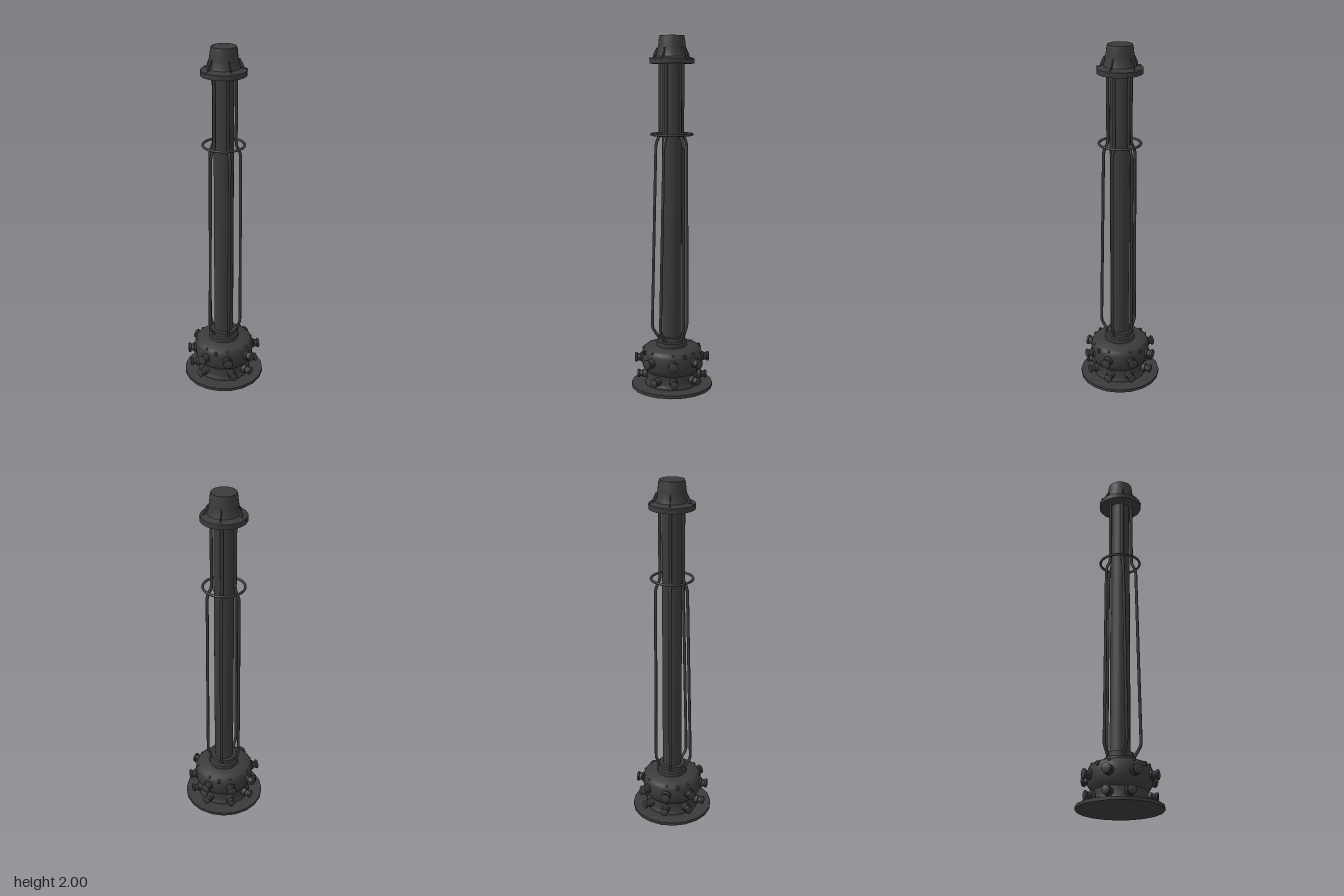
import * as THREE from 'three';
import { toCreasedNormals } from 'three/addons/utils/BufferGeometryUtils.js';

const iron = new THREE.MeshStandardMaterial({ color: 0x3a3a3a });
iron.name = 'dark iron';

const rad = THREE.MathUtils.degToRad;
const crease = (g) => toCreasedNormals(g, rad(35));
// Profile of [radius, height] pairs, listed bottom to top.
const lathe = (points, sides) =>
  crease(new THREE.LatheGeometry(points.map(([r, y]) => new THREE.Vector2(r, y)), sides));

export function createModel() {
  const root = new THREE.Group();
  root.name = 'column';

  const add = (name, geometry, parent = root) => {
    const mesh = new THREE.Mesh(geometry, iron);
    mesh.name = name;
    parent.add(mesh);
    return mesh;
  };
  // Places a part facing outward along local +z, at an angle measured from +z towards +x.
  const addRadial = (name, geometry, degrees, radius, y) => {
    const mesh = add(name, geometry);
    const a = rad(degrees);
    mesh.position.set(Math.sin(a) * radius, y, Math.cos(a) * radius);
    mesh.rotation.y = a;
    return mesh;
  };

  // Ground plate
  const plate = add('basePlate', crease(new THREE.CylinderGeometry(0.235, 0.235, 0.018, 20)));
  plate.position.y = 0.009;
  plate.rotation.y = rad(9);

  // Bulged drum with a stepped collar
  add('drum', lathe([
    [0, 0.015], [0.155, 0.015], [0.155, 0.03], [0.148, 0.04], [0.148, 0.095],
    [0.16, 0.11], [0.172, 0.13], [0.174, 0.175], [0.172, 0.205], [0.165, 0.225],
    [0.15, 0.237], [0.088, 0.243], [0.088, 0.27], [0.076, 0.274], [0.076, 0.3], [0, 0.3],
  ], 28));

  // Nozzles around the drum in two rows
  const nozzle = lathe([
    [0, -0.03], [0.029, -0.03], [0.029, 0.012], [0.022, 0.017], [0.021, 0.03],
    [0.028, 0.034], [0.028, 0.044], [0.022, 0.047], [0, 0.047],
  ], 12).rotateX(Math.PI / 2);
  for (let i = 0; i < 8; i++) addRadial('upperNozzle', nozzle, 22.5 + i * 45, 0.168, 0.17);
  for (const angle of [33, 69, 115, 157, -157, -115, -70, -30]) {
    addRadial('lowerNozzle', nozzle, angle, 0.155, 0.063).scale.set(0.85, 0.85, 1);
  }

  // Rivets and small lugs on the drum shoulder
  const rivet = new THREE.SphereGeometry(0.008, 8, 6);
  for (let i = 0; i < 8; i++) addRadial('drumRivet', rivet, 22.5 + i * 45, 0.163, 0.226);
  const lug = new THREE.BoxGeometry(0.016, 0.022, 0.016);
  for (let i = 0; i < 4; i++) addRadial('drumLug', lug, i * 90, 0.172, 0.215);

  // Central shaft
  const shaft = add('shaft', crease(new THREE.CylinderGeometry(0.056, 0.056, 1.58, 16)));
  shaft.position.y = 1.08;

  // Five pipes: close to the shaft above, bowed outward below; the front pair leans forward
  for (let i = 0; i < 5; i++) {
    const a = rad(180 + i * 72);
    const [s, c] = [Math.sin(a), Math.cos(a)];
    const lean = c > 0.5 ? 0.02 : 0;
    const path = new THREE.CurvePath();
    const at = (r, y, forward = 0) => new THREE.Vector3(s * r, y, c * r + forward);
    const knots = [
      at(0.067, 1.86), at(0.067, 1.47), at(0.071, 1.45), at(0.086, 1.42), at(0.092, 1.395),
      at(0.097, 0.37, lean), at(0.096, 0.34, lean), at(0.085, 0.31, lean * 0.6), at(0.075, 0.28),
    ];
    for (let k = 1; k < knots.length; k++) path.add(new THREE.LineCurve3(knots[k - 1], knots[k]));
    add('pipe', new THREE.TubeGeometry(path, 120, 0.0085, 8));
  }

  // Hoop above the pipe bends
  const hoop = add('hoop', new THREE.TorusGeometry(0.115, 0.007, 8, 36));
  hoop.rotation.x = Math.PI / 2;
  hoop.position.y = 1.46;

  // Flanged cap
  add('cap', lathe([
    [0, 1.848], [0.125, 1.848], [0.125, 1.876], [0.11, 1.88], [0.091, 1.888],
    [0.083, 1.91], [0.077, 1.94], [0.072, 1.985], [0.068, 2], [0, 2],
  ], 20));

  // Gusset fins and flange rivets
  const finShape = new THREE.Shape([
    [0.065, 1.875], [0.108, 1.875], [0.104, 1.9], [0.086, 1.935], [0.065, 1.935],
  ].map(([x, y]) => new THREE.Vector2(x, y)));
  const fin = new THREE.ExtrudeGeometry(finShape, { depth: 0.006, bevelEnabled: false })
    .translate(0, 0, -0.003).rotateY(-Math.PI / 2);
  for (let i = 0; i < 5; i++) {
    addRadial('capFin', fin, 180 + i * 72, 0, 0);
    addRadial('flangeRivet', rivet, 180 + i * 72, 0.12, 1.874);
  }

  return root;
}
